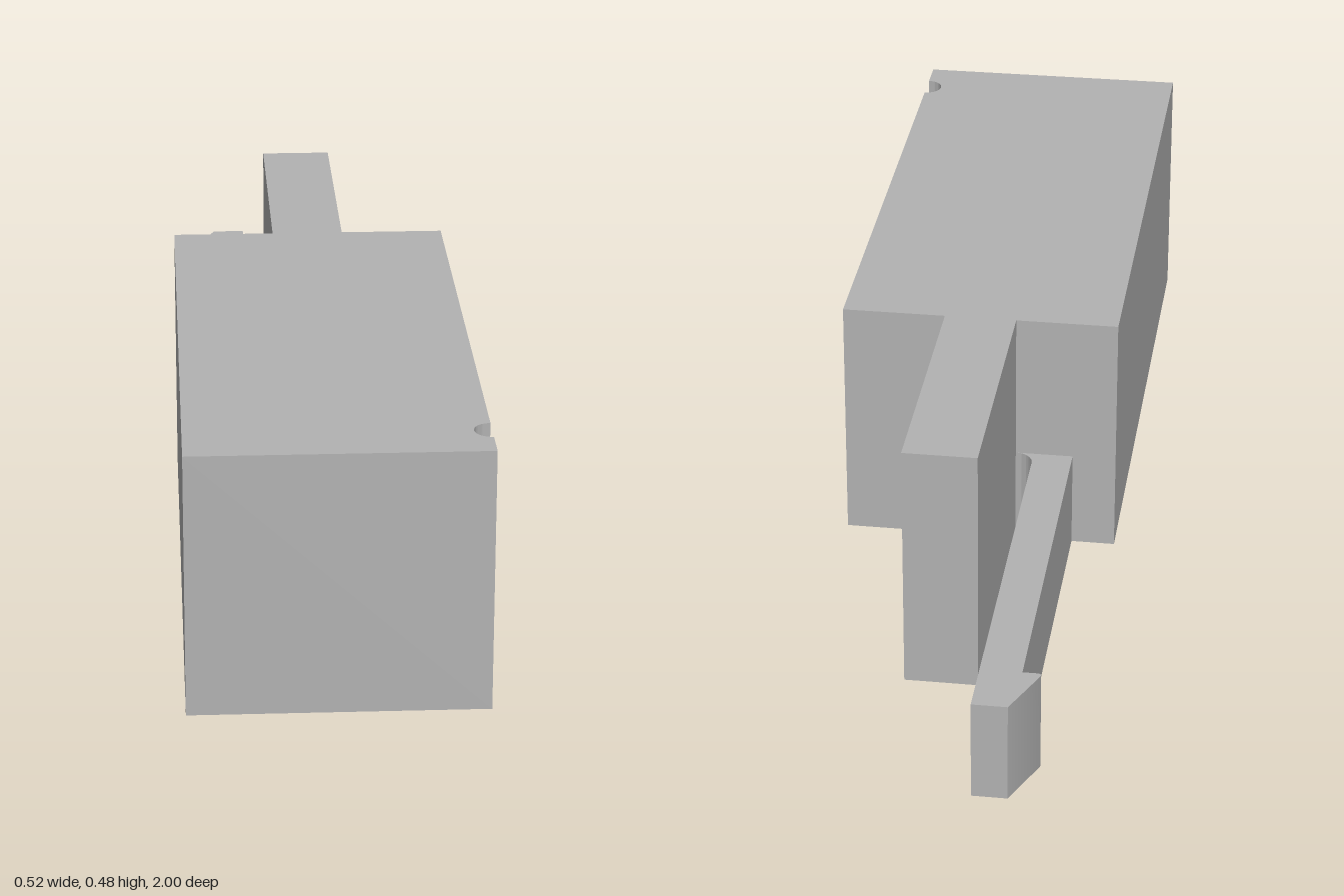
import * as THREE from 'three';
import { toCreasedNormals } from 'three/addons/utils/BufferGeometryUtils.js';

// Extrude a plan outline (drawn with y = -z) upward from the ground
function extrudePlan(name, shape, height, material) {
  const flat = new THREE.ExtrudeGeometry(shape, { depth: height, bevelEnabled: false, curveSegments: 20 });
  flat.rotateX(-Math.PI / 2);
  const mesh = new THREE.Mesh(toCreasedNormals(flat, 0.5), material);
  mesh.name = name;
  return mesh;
}

export function createModel() {
  const group = new THREE.Group();
  group.name = 'latchBlock';
  const grey = new THREE.MeshStandardMaterial({ color: 0xb2b2b2 });
  grey.name = 'grey';

  const halfW = 0.262;
  const shoulder = 0.138; // back face of the body
  const tongueL = 0.067;
  const tongueR = -0.069;

  // Full-height body with rear tongue and a round groove in its side
  const grooveY = -0.907;
  const grooveR = 0.031;
  const body = new THREE.Shape();
  body.moveTo(-halfW, -1);
  body.lineTo(halfW, -1);
  body.lineTo(halfW, grooveY - grooveR);
  body.absarc(halfW, grooveY, grooveR, -Math.PI / 2, Math.PI / 2, true);
  body.lineTo(halfW, shoulder);
  body.lineTo(tongueL, shoulder);
  body.lineTo(tongueL, 0.66);
  body.lineTo(tongueR, 0.66);
  body.lineTo(tongueR, shoulder);
  body.lineTo(-halfW, shoulder);
  body.closePath();
  group.add(extrudePlan('bodyWithTongue', body, 0.477, grey));

  // Low spring arm with a filleted root and a hooked tip
  const inner = -0.104;
  const outer = -0.179;
  const fillet = tongueR - inner;
  const arm = new THREE.Shape();
  arm.moveTo(outer, shoulder);
  arm.lineTo(tongueR, shoulder);
  arm.absarc(tongueR, shoulder + fillet, fillet, -Math.PI / 2, -Math.PI, true);
  arm.lineTo(inner, 1);
  arm.lineTo(-0.168, 1);
  arm.lineTo(-0.211, 0.9);
  arm.quadraticCurveTo(-0.215, 0.89, -0.205, 0.89);
  arm.lineTo(outer, 0.89);
  arm.closePath();
  group.add(extrudePlan('latchArm', arm, 0.19, grey));

  return group;
}
